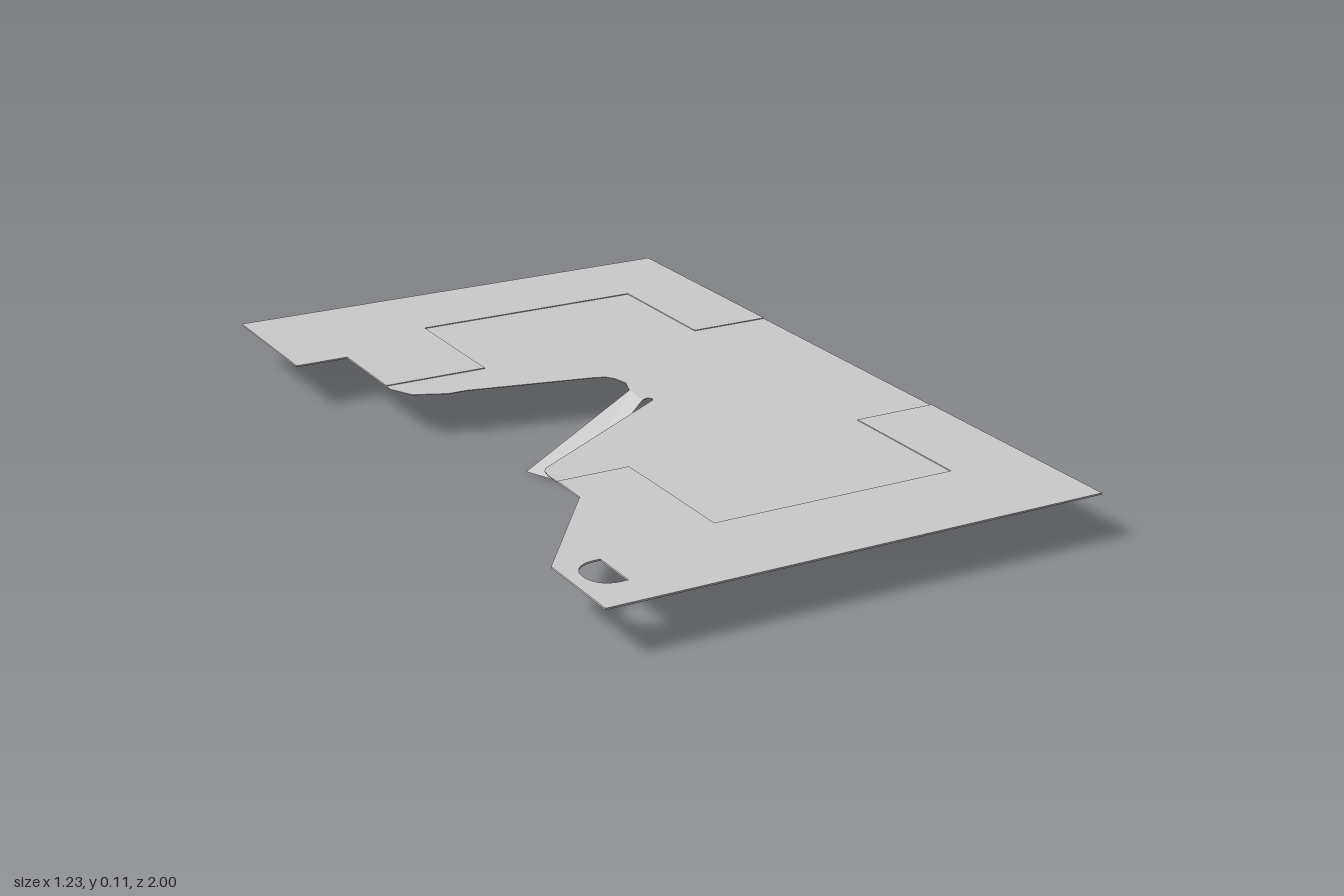
import * as THREE from 'three';

const TOP = 0.111, STEP = 0.002;

// Horizontal plate from an (x, z) outline, top face at the given height
function plate(name, outline, top, depth, material, hole) {
  const shape = new THREE.Shape(outline.map(([x, z]) => new THREE.Vector2(x, z)));
  if (hole) shape.holes.push(hole);
  const geometry = new THREE.ExtrudeGeometry(shape, { depth, bevelEnabled: false, curveSegments: 16 });
  geometry.rotateX(Math.PI / 2).translate(0, top, 0);
  const mesh = new THREE.Mesh(geometry, material);
  mesh.name = name;
  return mesh;
}

// D-shaped opening in the tab
function tabHole() {
  const hole = new THREE.Path();
  hole.moveTo(-0.51, 0.785);
  hole.lineTo(-0.53, 0.785);
  hole.bezierCurveTo(-0.6, 0.79, -0.6, 0.9, -0.53, 0.903);
  hole.lineTo(-0.51, 0.903);
  hole.closePath();
  return hole;
}

export function createModel() {
  const group = new THREE.Group();
  group.name = 'notchedPlatform';
  const material = new THREE.MeshStandardMaterial({
    color: 0xcccccc, flatShading: true, side: THREE.DoubleSide,
  });

  // Outline pieces shared by the sheet and the raised borders
  const backCorner = [[-0.465, -0.625], [-0.6, -0.625], [-0.6, -1], [0.61, -1]];
  const frontCorner = [[0.61, 1], [-0.615, 1], [-0.615, 0.77], [-0.39, 0.47]];
  const notch = [
    [-0.39, 0.32], [-0.385, 0.295], [-0.375, 0.28], [0.05, 0.013], [0.055, 0.003],
    [0.045, -0.006], [0.03, 0], [0.035, -0.075], [0.053, -0.125], [0.045, -0.165],
    [0.032, -0.185], [0, -0.197], [-0.31, -0.265], [-0.355, -0.265], [-0.435, -0.3], [-0.465, -0.36],
  ];

  // Main sheet
  group.add(plate('sheet', [...backCorner, ...frontCorner, ...notch], TOP - STEP, STEP, material, tabHole()));

  // Slightly raised borders around the sunken middle and its two bays
  const backBay = [[0.61, -0.385], [0.4, -0.385], [0.4, -0.74], [-0.2, -0.74], [-0.2, -0.385], [-0.465, -0.385]];
  const frontBay = [[-0.39, 0.365], [-0.21, 0.365], [-0.21, 0.735], [0.4, 0.735], [0.4, 0.365], [0.61, 0.365]];
  group.add(plate('backBorder', [...backCorner, ...backBay], TOP, STEP, material));
  group.add(plate('frontBorder', [...frontCorner, ...frontBay], TOP, STEP, material, tabHole()));

  // Ramp sloping from the notch down to the ground
  const y = TOP - STEP;
  const ramp = new THREE.BufferGeometry();
  ramp.setAttribute('position', new THREE.Float32BufferAttribute([
    0.035, y, -0.075, -0.3, 0, 0.033, -0.243, 0, 0.165, 0.03, y, 0,
  ], 3));
  ramp.setIndex([0, 1, 2, 0, 2, 3]);
  ramp.computeVertexNormals();
  const rampMesh = new THREE.Mesh(ramp, material);
  rampMesh.name = 'ramp';
  group.add(rampMesh);

  return group;
}
